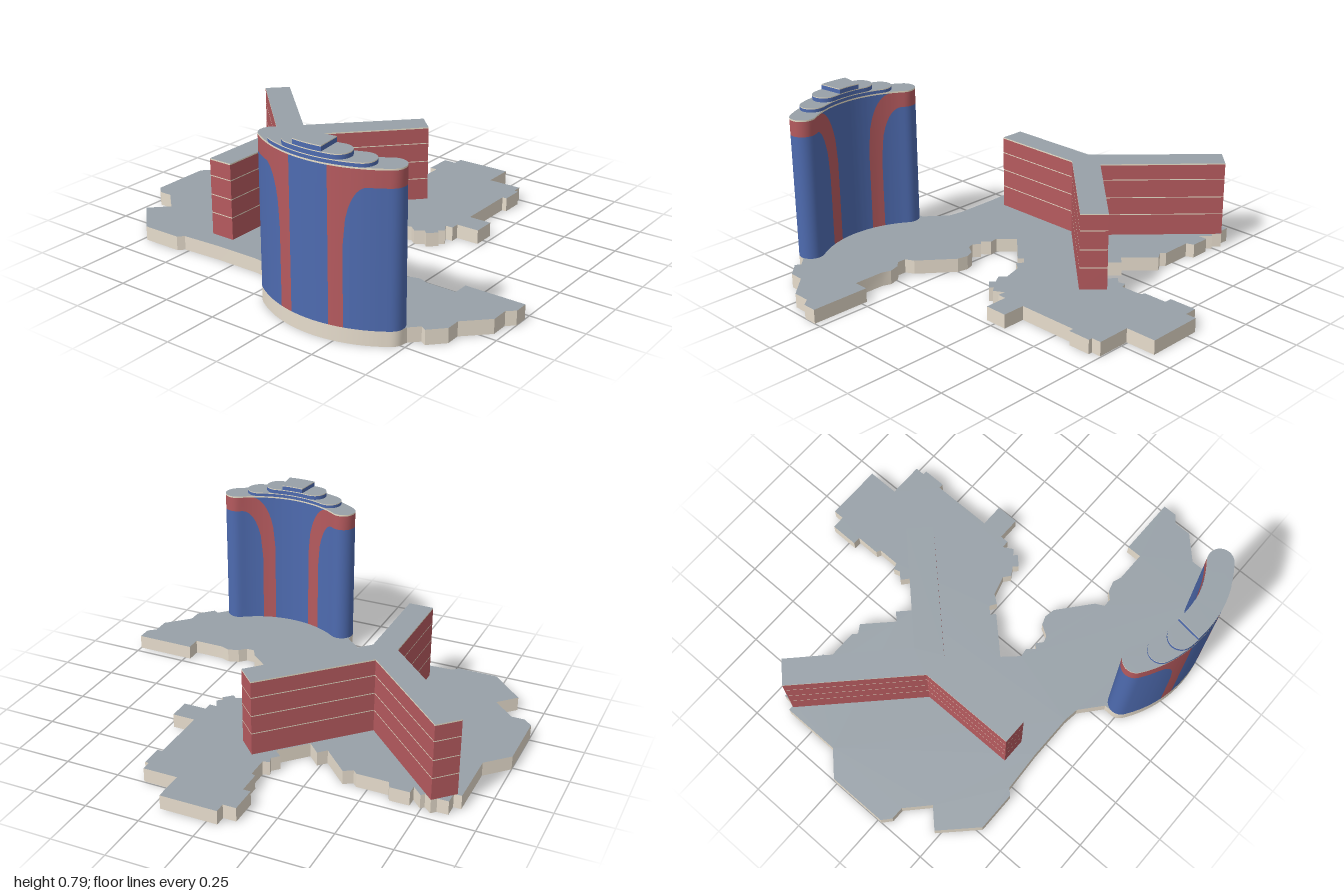
import * as THREE from 'three';
import { toCreasedNormals } from 'three/addons/utils/BufferGeometryUtils.js';

const mat = (color) => new THREE.MeshStandardMaterial({ color, side: THREE.DoubleSide });
const ROOF = mat(0x98a1a8), STONE = mat(0xe6dccc), RED = mat(0xb55a5e), BLUE = mat(0x4e6bb0), CREAM = mat(0xe9e0ca);

// Crescent plan: centre of its arcs, inner and outer radius
const CX = 0.39, CZ = 0.335, RI = 0.43, RO = 0.545, RM = (RI + RO) / 2, RC = (RO - RI) / 2;
const BASE = 0.065;

// Arc of a circle about the crescent centre, left to right, in even steps of x
function arc(r, half) {
  const end = r * Math.sin(half), n = Math.floor(end / 0.01 - 0.01), pts = [];
  for (let i = -n - 1; i <= n + 1; i++) {
    const d = Math.abs(i) > n ? Math.sign(i) * end : i * 0.01;
    pts.push([CX + d, CZ + Math.sqrt(r * r - d * d)]);
  }
  return pts;
}

// Crescent outline: front arc, right end, back arc, left end
function crescent(half, rounded = true) {
  const cap = (s) => {
    const pts = [];
    for (let i = 1; rounded && i < 14; i++) {
      const t = half + (i / 14) * Math.PI;
      pts.push([CX + s * (RM * Math.sin(half) + RC * Math.sin(t)), CZ + RM * Math.cos(half) + RC * Math.cos(t)]);
    }
    return s > 0 ? pts : pts.reverse();
  };
  return [...arc(RO, half), ...cap(1), ...arc(RI, half).reverse(), ...cap(-1)];
}

// Upright wall along an [x, z] outline (counter-clockwise from above). For segments that pass
// inside(d, back), span(d) gives [low, high]; d is the distance from the crescent's middle.
function wall(name, outline, material, span, inside = () => true) {
  const pos = [];
  outline.forEach(([ax, az], i) => {
    const [bx, bz] = outline[(i + 1) % outline.length];
    const da = Math.abs(ax - CX), db = Math.abs(bx - CX);
    if (!inside((da + db) / 2, Math.hypot((ax + bx) / 2 - CX, (az + bz) / 2 - CZ) < RM)) return;
    const [al, ah] = span(da), [bl, bh] = span(db);
    pos.push(ax, al, az, bx, bl, bz, bx, bh, bz, ax, al, az, bx, bh, bz, ax, ah, az);
  });
  const geo = new THREE.BufferGeometry();
  geo.setAttribute('position', new THREE.Float32BufferAttribute(pos, 3));
  const mesh = new THREE.Mesh(toCreasedNormals(geo, 0.4), material);
  mesh.name = name;
  return mesh;
}

// Plain wall between two heights
const band = (name, outline, y0, y1, material) => wall(name, outline, material, () => [y0, y1]);

// Flat deck or roof filling an outline
function deck(name, outline, y) {
  const shape = new THREE.Shape(outline.map(([x, z]) => new THREE.Vector2(x, -z)));
  const mesh = new THREE.Mesh(new THREE.ShapeGeometry(shape).rotateX(-Math.PI / 2).translate(0, y, 0), ROOF);
  mesh.name = name;
  return mesh;
}

function group(name, ...parts) {
  const g = new THREE.Group();
  g.name = name;
  return g.add(...parts);
}

// Site outline in two runs, joined by the tower's front curve
const SITE_EAST = [
  [-0.05, -0.89], [0.213, -0.89], [0.213, -0.745], [0.373, -0.745], [0.373, -0.7], [0.392, -0.7], [0.392, -0.595],
  [0.37, -0.595], [0.37, -0.31], [0.477, -0.31], [0.477, -0.205], [0.37, -0.205], [0.37, -0.165], [0.335, -0.165],
  [0.36, -0.12], [0.335, -0.1], [0.35, -0.085], [0.31, -0.045], [0.29, -0.065], [0.25, -0.04], [0.22, -0.065],
  [0.13, -0.04], [0.1, 0], [0.07, -0.02], [0.04, 0.01], [0.06, 0.03], [-0.085, 0.18], [-0.02, 0.25], [0.02, 0.245],
  [0.05, 0.28], [0.07, 0.26], [0.1, 0.285], [0.13, 0.275], [0.16, 0.225], [0.2, 0.21], [0.25, 0.22], [0.4, 0.345],
  [0.42, 0.385], [0.46, 0.385], [0.49, 0.355], [0.54, 0.34], [0.58, 0.355], [0.723, 0.355], [0.723, 0.285], [1, 0.285],
  [1, 0.35], [0.965, 0.38], [0.965, 0.46], [0.863, 0.56], [0.863, 0.625], [0.8, 0.69], [0.775, 0.675], [0.735, 0.715],
];
const SITE_WEST = [
  [0.05, 0.69], [-0.05, 0.605], [-0.12, 0.595], [-0.33, 0.595], [-0.52, 0.605], [-0.545, 0.63], [-0.73, 0.63],
  [-0.88, 0.48], [-0.8, 0.4], [-0.9, 0.305], [-0.96, 0.305], [-1, 0.27], [-1, -0.01], [-0.9, -0.11], [-0.9, -0.38],
  [-0.865, -0.38], [-0.865, -0.44], [-0.815, -0.44], [-0.795, -0.46], [-0.76, -0.43], [-0.745, -0.445], [-0.7, -0.4],
  [-0.7, -0.445], [-0.61, -0.445], [-0.595, -0.41], [-0.45, -0.41], [-0.43, -0.39], [-0.39, -0.415], [-0.27, -0.295],
  [-0.235, -0.33], [-0.18, -0.275], [-0.07, -0.39], [-0.105, -0.42], [-0.075, -0.45], [-0.085, -0.48], [-0.055, -0.49],
  [-0.055, -0.59], [-0.075, -0.6], [-0.075, -0.71], [-0.11, -0.71], [-0.11, -0.84], [-0.05, -0.84],
];

// Podium: a deck with a skirt, open underneath
function createPodium(plan) {
  const front = plan.filter(([x, z]) => Math.hypot(x - CX, z - CZ) > 0.525).sort((a, b) => b[0] - a[0]);
  const site = [...SITE_EAST, ...front, ...SITE_WEST].reverse();
  return group('podium', band('podiumSkirt', site, 0, BASE, STONE), deck('podiumDeck', site, BASE));
}

// Three-winged block: red storeys parted by thin cream bands
function createWings() {
  const plan = [
    [-0.44, 0.51], [-0.325, 0.51], [-0.325, 0.06], [0.095, -0.375], [0.01, -0.46],
    [-0.385, -0.06], [-0.795, -0.46], [-0.88, -0.375], [-0.44, 0.06],
  ];
  const levels = [BASE, 0.165, 0.25, 0.338, 0.412], line = 0.004, top = 0.418;
  const block = group('threeWingBlock', deck('wingRoof', plan, top));
  for (let i = 0; i < 4; i++) {
    block.add(band('storey', plan, levels[i] + (i ? line : 0), levels[i + 1], RED));
    block.add(band(i < 3 ? 'floorBand' : 'roofRim', plan, levels[i + 1], i < 3 ? levels[i + 1] + line : top, CREAM));
  }
  return block;
}

// Crescent tower: blue glass with two red strips that flare out under the roof
function createTower(plan) {
  const top = 0.715, inner = 0.09, outer = 0.15, backEnd = 0.2;
  // Quarter-ellipse edge rising from (d0, y0) to (d1, y1)
  const curve = (d, d0, y0, d1, y1) =>
    y0 + (y1 - y0) * Math.sqrt(1 - THREE.MathUtils.clamp((d1 - d) / (d1 - d0), 0, 1) ** 2);
  // Lower edge of the red (glass below), and its upper edge at the back (glass above)
  const low = (d) => (d < outer - 1e-6 ? BASE : curve(d, outer, 0.4, 0.24, 0.645));
  const high = (d) => curve(d, inner, 0.45, backEnd, top);
  const lowEnd = (d) => curve(d, outer, 0.4, 0.24, 0.645);
  const tower = group('crescentTower',
    wall('centreGlass', plan, BLUE, () => [BASE, top], (d) => d < inner),
    wall('endGlass', plan, BLUE, (d) => [BASE, lowEnd(d)], (d) => d > outer),
    wall('frontStrips', plan, RED, () => [BASE, top], (d, back) => !back && d > inner && d < outer),
    wall('frontFlares', plan, RED, (d) => [lowEnd(d), top], (d, back) => d > outer && (!back || d > backEnd)),
    wall('backStrips', plan, RED, (d) => [BASE, high(d)], (d, back) => back && d > inner && d < outer),
    wall('backFlares', plan, RED, (d) => [low(d), high(d)], (d, back) => back && d > outer && d < backEnd),
    wall('backUpperGlass', plan, BLUE, (d) => [high(d), top], (d, back) => back && d > inner && d < backEnd),
    band('towerRim', plan, top, top + 0.007, CREAM),
    deck('towerRoof', plan, top + 0.007),
  );
  // Stepped roof tiers, each shorter than the one below
  const tiers = [[0.395, 0.722, 0.74], [0.2, 0.74, 0.762], [0.124, 0.762, 0.785]];
  tiers.forEach(([half, y0, y1], i) => {
    const tier = crescent(half, i < 2);
    tower.add(band('roofTier', tier, y0, y1 - 0.004, BLUE), band('tierRim', tier, y1 - 0.004, y1, CREAM), deck('tierRoof', tier, y1));
  });
  return tower;
}

export function createModel() {
  const plan = crescent(0.62);
  return group('buildingComplex', createPodium(plan), createWings(), createTower(plan));
}
